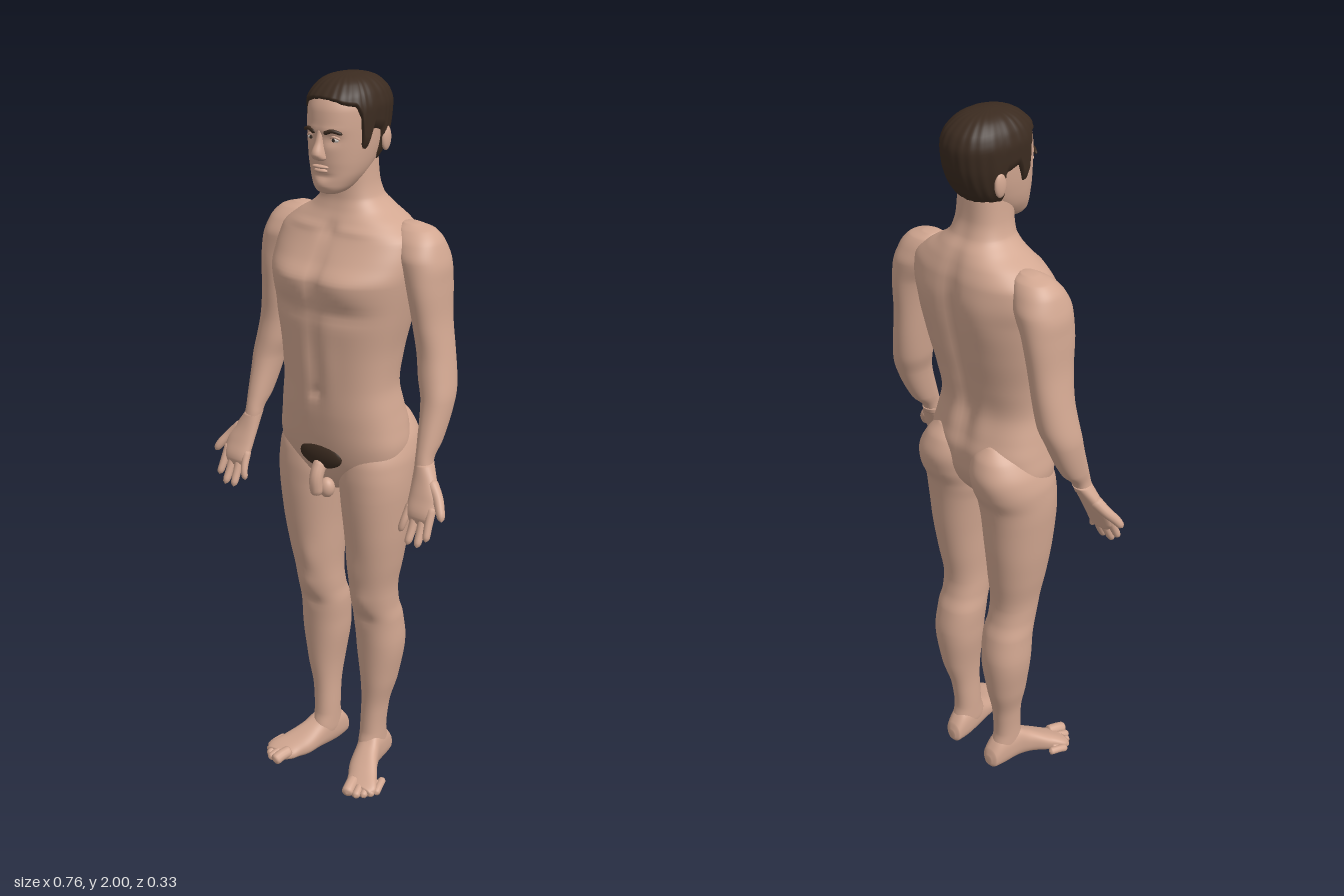
import * as THREE from 'three';
import { mergeVertices } from 'three/addons/utils/BufferGeometryUtils.js';

const mat = (name, color) => Object.assign(new THREE.MeshStandardMaterial({ color }), { name });

// Smooth, overshoot-free interpolation of section rows [y, cx, halfWidth, zFront, zBack]
function profile(rows) {
  const s = [...rows].sort((a, b) => a[0] - b[0]), n = s.length;
  const d = (i, c) => (s[i + 1][c] - s[i][c]) / (s[i + 1][0] - s[i][0]);
  const slope = (i, c) => {
    if (i === 0) return d(0, c);
    if (i === n - 1) return d(n - 2, c);
    const p = d(i - 1, c), q = d(i, c);
    return p * q <= 0 ? 0 : (2 * p * q) / (p + q);
  };
  const at = (y) => {
    let i = 0;
    while (i < n - 2 && y > s[i + 1][0]) i++;
    const h = s[i + 1][0] - s[i][0], t = THREE.MathUtils.clamp((y - s[i][0]) / h, 0, 1);
    return [1, 2, 3, 4].map((c) =>
      (2 * t ** 3 - 3 * t * t + 1) * s[i][c] + (t ** 3 - 2 * t * t + t) * h * slope(i, c) +
      (3 * t * t - 2 * t ** 3) * s[i + 1][c] + (t ** 3 - t * t) * h * slope(i + 1, c));
  };
  // Point on the superelliptic section at height y and angle a (0 = +x, 90 degrees = front)
  const point = (y, a, e = 2.2, grow = 0) => {
    const [cx, hw, zf, zb] = at(y), c = Math.cos(a), k = Math.sin(a);
    const x = cx + (hw + grow) * Math.sign(c) * Math.abs(c) ** (2 / e);
    const z = (zf + zb) / 2 + ((zf - zb) / 2 + grow) * Math.sign(k) * Math.abs(k) ** (2 / e);
    return [x, y, z];
  };
  return { ys: s.map((r) => r[0]), point, at };
}

// Closed grid of rings, rows running upwards
function grid(rows, cols, f, flip = false) {
  const pos = [], idx = [];
  for (let i = 0; i <= rows; i++) for (let j = 0; j < cols; j++) pos.push(...f(i, (j / cols) * Math.PI * 2));
  for (let i = 0; i < rows; i++) for (let j = 0; j < cols; j++) {
    const a = i * cols + j, b = i * cols + (j + 1) % cols, c = a + cols, e = b + cols;
    idx.push(...(flip ? [a, b, c, b, e, c] : [a, c, b, b, c, e]));
  }
  const g = new THREE.BufferGeometry();
  g.setAttribute('position', new THREE.Float32BufferAttribute(pos, 3));
  g.setIndex(idx);
  g.computeVertexNormals();
  return g;
}

// Loft with muscle bumps [x, y, rx, ry, amount, side]; side 1 = front, -1 = back
function loft(rows, { e = 2.2, bumps = [], cols = 48, sub = 6, swap = false } = {}) {
  const p = profile(rows), ys = [];
  p.ys.slice(0, -1).forEach((y, i) => {
    for (let k = 0; k < sub; k++) ys.push(y + ((p.ys[i + 1] - y) * k) / sub);
  });
  ys.push(p.ys.at(-1));
  const last = ys.length + 1;
  return grid(last, cols, (i, a) => {
    const y = ys[Math.min(Math.max(i - 1, 0), ys.length - 1)];
    let [x, , z] = p.point(y, a, e);
    if (i === 0 || i === last) { const q = p.at(y); x = q[0]; z = (q[2] + q[3]) / 2; }
    for (const [bx, by, rx, ry, amt, side] of bumps)
      z += side * amt * Math.max(0, Math.sin(a) * side) *
        Math.exp(-(((Math.abs(x) - bx) / rx) ** 2) - ((y - by) / ry) ** 2);
    return swap ? [x, z, y] : [x, y, z];
  }, swap);
}

// Tapered round-ended tube through points
function taper(points, r0, r1, seg = 16) {
  const curve = new THREE.CatmullRomCurve3(points.map((p) => new THREE.Vector3(...p)));
  let g = new THREE.TubeGeometry(curve, seg, 1, 12);
  const p = g.attributes.position, v = new THREE.Vector3();
  for (let i = 0; i < p.count; i++) {
    const t = Math.floor(i / 13) / seg, c = curve.getPointAt(t);
    const end = Math.sqrt(Math.max(0, 1 - Math.max(0, (t - 0.82) / 0.18, (0.12 - t) / 0.12) ** 2));
    v.fromBufferAttribute(p, i).sub(c).multiplyScalar((r0 + (r1 - r0) * t) * end + 1e-4).add(c);
    p.setXYZ(i, v.x, v.y, v.z);
  }
  g.deleteAttribute('uv');
  g.deleteAttribute('normal');
  g = mergeVertices(g, 1e-6);
  g.computeVertexNormals();
  return g;
}

const blob = (x, y, z, sx, sy, sz) => new THREE.SphereGeometry(1, 24, 16).scale(sx, sy, sz).translate(x, y, z);

function mirrored(geo) {
  const g = geo.clone().scale(-1, 1, 1), a = g.index.array;
  for (let i = 0; i < a.length; i += 3) [a[i], a[i + 1]] = [a[i + 1], a[i]];
  return g;
}

export function createModel() {
  const model = new THREE.Group();
  model.name = 'standingFigure';
  const skin = mat('skin', 0xd2a791), hair = mat('darkBrownHair', 0x3b2b20);
  const white = mat('eyeWhite', 0xe4dcd4), iris = mat('iris', 0x40342c);
  const add = (name, geo, m = skin) => {
    const mesh = new THREE.Mesh(geo, m);
    mesh.name = name;
    model.add(mesh);
  };
  const pair = (name, geo, m) => { add(name + 'Left', geo, m); add(name + 'Right', mirrored(geo), m); };

  // Torso and neck
  add('torso', loft([
    [0.905, 0, 0.03, 0.05, -0.03], [0.95, 0, 0.12, 0.08, -0.08], [1, 0, 0.178, 0.098, -0.115],
    [1.05, 0, 0.186, 0.108, -0.13], [1.1, 0, 0.179, 0.114, -0.132], [1.15, 0, 0.17, 0.118, -0.12],
    [1.22, 0, 0.16, 0.12, -0.106], [1.3, 0, 0.166, 0.124, -0.122], [1.4, 0, 0.184, 0.13, -0.146],
    [1.5, 0, 0.2, 0.134, -0.162], [1.55, 0, 0.205, 0.107, -0.165], [1.6, 0, 0.198, 0.076, -0.16],
    [1.64, 0, 0.155, 0.053, -0.148], [1.67, 0, 0.107, 0.038, -0.134], [1.7, 0, 0.079, 0.03, -0.113],
    [1.74, 0, 0.07, 0.028, -0.1], [1.8, 0, 0.066, 0.028, -0.095],
  ], {
    e: 2.4, cols: 96, bumps: [
      [0.085, 1.5, 0.07, 0.045, 0.012, 1], [0, 1.51, 0.016, 0.08, -0.008, 1], [0.09, 1.425, 0.08, 0.022, -0.009, 1],
      [0, 1.3, 0.012, 0.09, -0.006, 1], [0, 1.2, 0.012, 0.014, -0.012, 1], [0.04, 1.28, 0.025, 0.1, 0.004, 1],
      [0.09, 1.625, 0.07, 0.01, 0.005, 1], [0, 1.62, 0.02, 0.02, -0.008, 1],
      [0, 1.4, 0.024, 0.22, -0.02, -1], [0.1, 1.52, 0.05, 0.07, 0.007, -1], [0.05, 1.2, 0.03, 0.08, 0.006, -1],
    ],
  }));

  // Legs with buttocks, knees and calves
  pair('leg', loft([
    [0.03, 0.083, 0.028, 0.02, -0.085], [0.07, 0.083, 0.034, 0.02, -0.088], [0.12, 0.083, 0.034, 0.008, -0.078],
    [0.2, 0.086, 0.036, 0.005, -0.085], [0.3, 0.094, 0.05, 0.012, -0.11], [0.42, 0.095, 0.066, 0.02, -0.124],
    [0.5, 0.092, 0.067, 0.028, -0.112], [0.55, 0.092, 0.063, 0.042, -0.095], [0.6, 0.093, 0.063, 0.053, -0.088],
    [0.7, 0.099, 0.073, 0.07, -0.1], [0.8, 0.103, 0.083, 0.083, -0.112], [0.9, 0.1025, 0.0925, 0.091, -0.12],
    [0.95, 0.1, 0.097, 0.092, -0.127], [1, 0.1, 0.096, 0.088, -0.148], [1.05, 0.096, 0.09, 0.07, -0.158],
    [1.1, 0.088, 0.07, 0.03, -0.144], [1.14, 0.083, 0.03, -0.02, -0.112],
  ], { bumps: [[0.092, 0.58, 0.03, 0.035, 0.007, 1], [0.092, 0.515, 0.03, 0.02, -0.005, 1], [0.07, 0.67, 0.03, 0.05, 0.006, 1]] }));

  // Feet, lofted from heel to ball, and toes
  pair('foot', loft([
    [-0.11, 0.078, 0.012, 0.045, 0.015], [-0.1, 0.079, 0.027, 0.07, 0.004], [-0.06, 0.082, 0.034, 0.11, 0],
    [-0.02, 0.087, 0.036, 0.115, 0.002], [0.02, 0.099, 0.04, 0.09, 0.004], [0.07, 0.122, 0.049, 0.06, 0],
    [0.105, 0.143, 0.05, 0.042, 0], [0.128, 0.148, 0.038, 0.03, 0.004],
  ], { swap: true, e: 2.4 }));
  [[0.132, 0.165, 0.017], [0.156, 0.157, 0.012], [0.172, 0.143, 0.011], [0.185, 0.127, 0.011], [0.194, 0.11, 0.011]]
    .forEach(([x, z, r], i) => pair('toe' + (i + 1), taper(
      [[x - 0.016, r + 0.012, z - 0.06], [x - 0.006, r + 0.008, z - 0.025], [x, r, z]], r, r)));

  // Arms, from shoulder cap to wrist
  pair('arm', loft([
    [1.03, 0.285, 0.023, 0.062, 0.014], [1.06, 0.282, 0.023, 0.056, 0.002], [1.1, 0.281, 0.029, 0.045, -0.035],
    [1.2, 0.277, 0.04, 0.018, -0.085], [1.26, 0.265, 0.045, 0.01, -0.105], [1.32, 0.255, 0.044, 0.005, -0.112],
    [1.4, 0.243, 0.043, 0.013, -0.118], [1.5, 0.231, 0.049, 0.024, -0.128], [1.56, 0.214, 0.06, 0.024, -0.13],
    [1.6, 0.2, 0.06, 0.01, -0.118], [1.63, 0.185, 0.05, -0.015, -0.1], [1.645, 0.17, 0.02, -0.04, -0.075],
  ]));

  // Hands: palm, fingers and thumb
  pair('palm', loft([
    [0.905, 0.306, 0.03, 0.098, 0.075], [0.925, 0.307, 0.042, 0.102, 0.066], [0.97, 0.306, 0.043, 0.086, 0.044],
    [1.01, 0.295, 0.034, 0.07, 0.025], [1.05, 0.283, 0.023, 0.058, 0.005],
  ], { cols: 32 }));
  [[0.274, 0.93, 0.26, 0.872, 0.106, 0.0095], [0.295, 0.925, 0.292, 0.848, 0.12, 0.011],
    [0.317, 0.925, 0.322, 0.848, 0.12, 0.011], [0.338, 0.935, 0.346, 0.87, 0.115, 0.0105]]
    .forEach(([x0, y0, x1, y1, z1, r], i) => pair('finger' + (i + 1), taper(
      [[x0, y0 + 0.02, 0.075], [(x0 + x1) / 2, (y0 + y1) / 2, 0.1], [x1, y1, z1]], r + 0.002, r - 0.001)));
  pair('thumb', taper([[0.31, 1.01, 0.045], [0.345, 0.975, 0.062], [0.365, 0.95, 0.08], [0.378, 0.927, 0.092]], 0.018, 0.0105));

  // Head
  const headRows = [
    [1.715, 0, 0.02, 0.07, 0.01], [1.723, 0, 0.036, 0.086, 0], [1.74, 0, 0.051, 0.092, -0.03],
    [1.77, 0, 0.067, 0.092, -0.07], [1.8, 0, 0.075, 0.095, -0.1], [1.84, 0, 0.081, 0.097, -0.125],
    [1.88, 0, 0.084, 0.098, -0.138], [1.92, 0, 0.085, 0.094, -0.142], [1.95, 0, 0.077, 0.082, -0.132],
    [1.975, 0, 0.058, 0.054, -0.105], [1.988, 0, 0.035, 0.025, -0.075], [1.994, 0, 0.003, -0.018, -0.024],
  ];
  add('head', loft(headRows, {
    cols: 96, bumps: [[0.034, 1.855, 0.018, 0.013, -0.007, 1], [0.025, 1.878, 0.03, 0.008, 0.003, 1],
      [0, 1.744, 0.02, 0.012, 0.005, 1], [0, 1.764, 0.03, 0.006, -0.004, 1]],
  }));
  add('nose', loft([
    [1.803, 0, 0.01, 0.1, 0.08], [1.81, 0, 0.018, 0.114, 0.078], [1.822, 0, 0.016, 0.122, 0.078],
    [1.85, 0, 0.01, 0.109, 0.078], [1.878, 0, 0.008, 0.099, 0.078],
  ], { cols: 24 }));
  add('upperLip', blob(0, 1.788, 0.094, 0.024, 0.005, 0.009));
  add('lowerLip', blob(0, 1.778, 0.092, 0.02, 0.006, 0.009));
  pair('ear', blob(0.083, 1.842, -0.03, 0.009, 0.031, 0.018).rotateX(-0.02));
  pair('eye', blob(0.034, 1.855, 0.081, 0.013, 0.006, 0.006), white);
  pair('iris', blob(0.034, 1.855, 0.0862, 0.0048, 0.0048, 0.0016), iris);
  pair('upperEyelid', taper([[0.018, 1.857, 0.086], [0.034, 1.863, 0.086], [0.05, 1.857, 0.079]], 0.003, 0.003));
  pair('eyebrow', taper([[0.013, 1.871, 0.098], [0.034, 1.878, 0.093], [0.058, 1.871, 0.081]], 0.0055, 0.004), hair);

  // Hair shell: hairline height by how far forward the angle faces
  const line = [[-1, 1.768], [-0.6, 1.773], [-0.32, 1.8], [-0.2, 1.862], [0.1, 1.872], [0.18, 1.822],
    [0.33, 1.825], [0.42, 1.9], [0.55, 1.93], [0.8, 1.936], [1, 1.948]];
  const hairline = (s) => {
    const i = Math.min(line.length - 2, Math.max(0, line.findIndex((l) => l[0] >= s) - 1));
    return THREE.MathUtils.mapLinear(s, line[i][0], line[i + 1][0], line[i][1], line[i + 1][1]);
  };
  const skull = profile(headRows);
  add('hair', grid(30, 144, (i, a) => {
    const v = Math.sin((i / 30) * Math.PI / 2), y0 = hairline(Math.sin(a));
    const thick = 0.0085 * Math.min(1, i / 3) - (i ? 0 : 0.003) + 0.0008 * Math.sin(a * 24 + y0 * 40);
    const p = skull.point(y0 + (1.994 - y0) * v, a, 2.2, i === 30 ? -0.003 : thick);
    p[1] += 0.006 * v;
    return p;
  }));
  model.getObjectByName('hair').material = hair;

  // Simple pelvic anatomy
  add('pubicHair', blob(0, 1.018, 0.098, 0.068, 0.036, 0.017), hair);
  add('pelvicFront', taper([[0, 1.005, 0.095], [0, 0.96, 0.12], [0, 0.905, 0.118]], 0.019, 0.018));
  pair('pelvicLower', blob(0.016, 0.925, 0.095, 0.022, 0.028, 0.021));

  return model;
}
